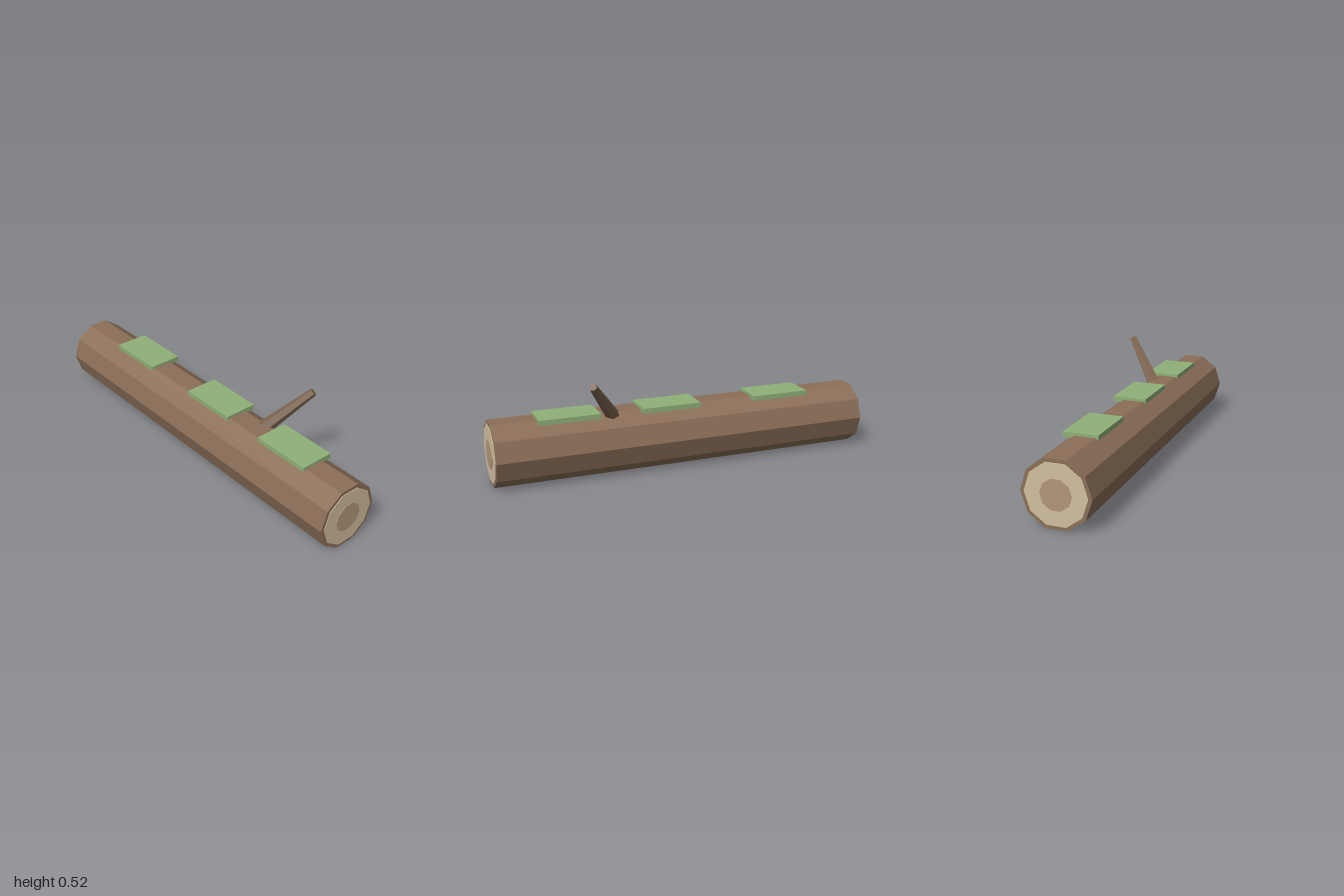
import * as THREE from 'three';

const paint = (color) => new THREE.MeshStandardMaterial({ color, flatShading: true });

export function createModel() {
  const model = new THREE.Group();
  model.name = 'fallenLog';
  const bark = paint(0x8b6f58);
  const branchBark = paint(0x7d6550);
  const wood = paint(0xd2bf9f);
  const heart = paint(0xb3977a);
  const moss = paint(0x8fb078);

  const add = (name, geometry, material, x, y, z) => {
    const mesh = new THREE.Mesh(geometry, material);
    mesh.name = name;
    mesh.position.set(x, y, z);
    model.add(mesh);
    return mesh;
  };

  // Ten-sided prism lying along x
  const axisY = 0.16, axisZ = 0.036;
  const lying = (radius, length) =>
    new THREE.CylinderGeometry(radius, radius, length, 10).rotateZ(Math.PI / 2);

  // Trunk
  add('trunk', lying(0.168, 1.988), bark, 0, axisY, axisZ);

  // Cut ends: pale wood disc with a darker heart
  for (const [side, s] of [['left', 1], ['right', -1]]) {
    add(side + 'CutFace', lying(0.15, 0.02), wood, s * 0.987, axisY, axisZ);
    add(side + 'Heartwood', lying(0.075, 0.02), heart, s * 0.99, axisY, axisZ);
  }

  // Moss patches along the top
  [-0.53, 0.085, 0.615].forEach((x, i) =>
    add('mossPatch' + (i + 1), new THREE.BoxGeometry(0.31, 0.026, 0.175), moss, x, 0.32, 0.0145));

  // Broken branch stub leaning up, back and to the left; origin at its tip
  const length = 0.38;
  const branch = add('branch',
    new THREE.CylinderGeometry(0.02, 0.04, length, 6).translate(0, -length / 2, 0),
    branchBark, 0.53, 0.505, -0.188);
  branch.rotation.set(-0.7, 0, -0.5);

  return model;
}
